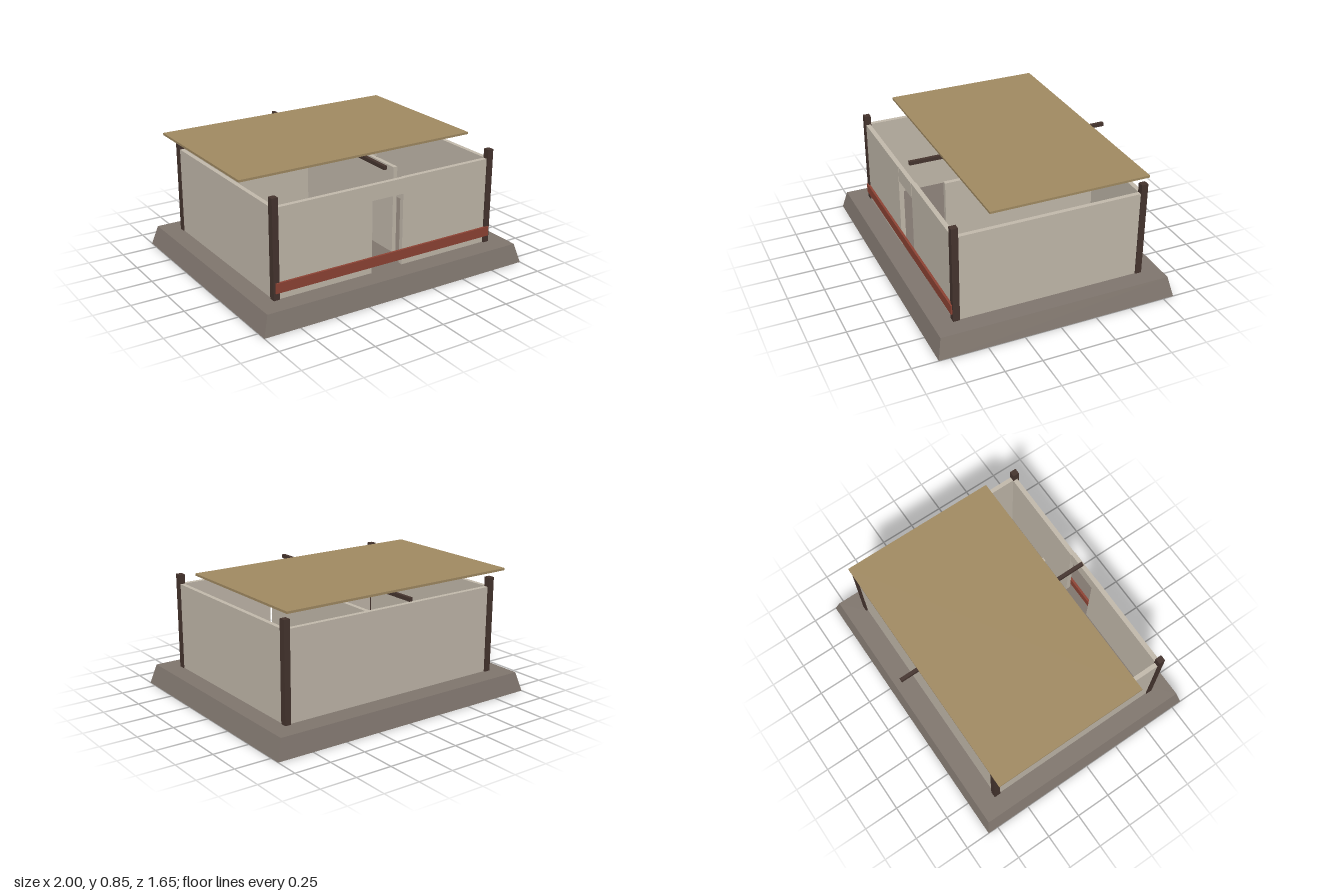
import * as THREE from 'three';

const mat = (name, color) => {
  const m = new THREE.MeshStandardMaterial({ color });
  m.name = name;
  return m;
};

export function createModel() {
  const model = new THREE.Group();
  model.name = 'house';
  const stone = mat('stone', 0x81776f);
  const plaster = mat('plaster', 0xc4bbad);
  const wood = mat('darkWood', 0x46352f);
  const red = mat('redPaint', 0x8f4435);
  const thatch = mat('thatch', 0xa38c63);

  // Box given by its min and max along each axis
  const box = (name, material, [x0, x1], [y0, y1], [z0, z1]) => {
    const mesh = new THREE.Mesh(new THREE.BoxGeometry(x1 - x0, y1 - y0, z1 - z0), material);
    mesh.position.set((x0 + x1) / 2, (y0 + y1) / 2, (z0 + z1) / 2);
    mesh.name = name;
    model.add(mesh);
    return mesh;
  };

  const floor = 0.135, wallTop = 0.735, doorTop = 0.63;

  // Plinth with battered sides: the top corners are pulled inwards
  const plinth = box('plinth', stone, [-1, 1], [0, floor], [-0.825, 0.825]);
  const p = plinth.geometry.attributes.position;
  for (let i = 0; i < p.count; i++) {
    if (p.getY(i) > 0) {
      p.setX(i, Math.sign(p.getX(i)) * 0.96);
      p.setZ(i, Math.sign(p.getZ(i)) * 0.795);
    }
  }
  plinth.geometry = plinth.geometry.toNonIndexed();
  plinth.geometry.computeVertexNormals();

  // Corner posts and side walls
  for (const sx of [-1, 1]) {
    const span = (a, b) => (sx > 0 ? [a, b] : [-b, -a]);
    box('sideWall', plaster, span(0.805, 0.835), [floor, wallTop], [-0.62, 0.62]);
    box('frontPost', wood, span(0.8, 0.842), [floor, 0.8], [0.62, 0.665]);
    box('backPost', wood, span(0.8, 0.842), [floor, 0.8], [-0.665, -0.62]);
  }

  // Back wall and inner partition
  box('backWall', plaster, [-0.805, 0.805], [floor, wallTop], [-0.652, -0.62]);
  box('partition', plaster, [0.182, 0.212], [floor, wallTop], [-0.62, 0.455]);

  // Front wall around the doorway
  box('frontWallRight', plaster, [-0.805, -0.12], [floor, wallTop], [0.625, 0.657]);
  box('frontWallLeft', plaster, [0.12, 0.805], [floor, wallTop], [0.62, 0.652]);
  box('doorLintel', plaster, [-0.12, 0.12], [doorTop, wallTop], [0.625, 0.655]);

  // Rail across the front, ridge beam and roof sheet
  box('frontRail', red, [-0.83, 0.83], [0.183, 0.25], [0.658, 0.674]);
  box('ridgeBeam', wood, [-0.012, 0.012], [0.803, 0.828], [-0.805, 0.62]);
  box('roof', thatch, [-0.925, 0.83], [0.838, 0.853], [-0.68, 0.413]);

  return model;
}
